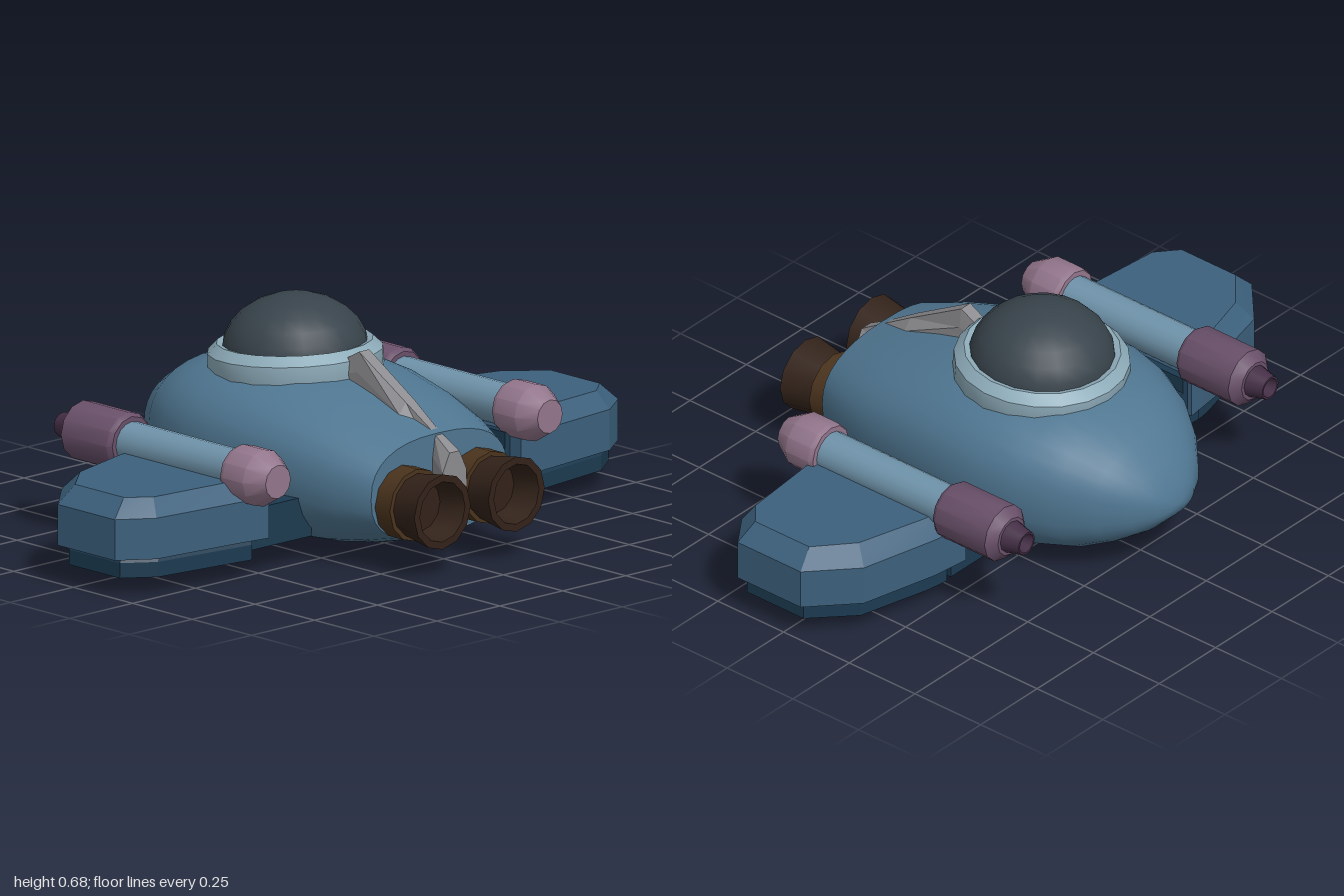
import * as THREE from 'three';
import { toCreasedNormals } from 'three/addons/utils/BufferGeometryUtils.js';

const mat = (color, extra = {}) => new THREE.MeshStandardMaterial({ color, ...extra });
const M = {
  hull: mat(0x4f7691), wing: mat(0x3c607c), dark: mat(0x1c3a50), collar: mat(0x8dabb9),
  glass: mat(0x38434b), tube: mat(0x6f93aa), cap: mat(0x93768c), barrel: mat(0x69506a),
  muzzle: mat(0x452f47, { side: THREE.DoubleSide }), spine: mat(0x8c8c90),
  band: mat(0x4a331d), nozzle: mat(0x33231a, { side: THREE.DoubleSide }),
};

function add(parent, name, geometry, material) {
  const mesh = new THREE.Mesh(geometry, material);
  mesh.name = name;
  parent.add(mesh);
  return mesh;
}

// Skin equal-length rings of points and close both ends; the first ring runs
// counter-clockwise seen from outside.
function loft(rings, crease) {
  const n = rings[0].length, pos = [], idx = [];
  rings.forEach(r => r.forEach(p => pos.push(...p)));
  for (let i = 0; i < rings.length - 1; i++) {
    for (let j = 0; j < n; j++) {
      const a = i * n + j, b = i * n + (j + 1) % n;
      idx.push(a, a + n, b, b, a + n, b + n);
    }
  }
  const last = (rings.length - 1) * n;
  [rings[0], rings[rings.length - 1]].forEach((ring, end) => {
    const c = pos.length / 3;
    pos.push(...[0, 1, 2].map(k => ring.reduce((s, p) => s + p[k], 0) / n));
    for (let j = 0; j < n; j++) {
      const k = (j + 1) % n;
      if (end) idx.push(c, last + k, last + j);
      else idx.push(c, j, k);
    }
  });
  const g = new THREE.BufferGeometry();
  g.setAttribute('position', new THREE.Float32BufferAttribute(pos, 3));
  g.setIndex(idx);
  return toCreasedNormals(g, crease);
}

// Lathe from [radius, height] pairs, optionally laid along z
function turned(profile, segments, alongZ = true) {
  const g = new THREE.LatheGeometry(profile.map(p => new THREE.Vector2(...p)), segments);
  if (alongZ) g.rotateX(Math.PI / 2);
  return toCreasedNormals(g, 0.6);
}

function hullGeometry() {
  // z, half width, top, bottom, height of widest line
  const sections = [
    [0.48, 0.27, 0.375, 0.07, 0.22], [0.37, 0.315, 0.412, 0.042, 0.235],
    [0.24, 0.348, 0.45, 0.02, 0.25], [0.07, 0.371, 0.487, 0.006, 0.265],
    [-0.08, 0.38, 0.5, 0.002, 0.27], [-0.2, 0.374, 0.5, 0.006, 0.27],
    [-0.32, 0.346, 0.485, 0.02, 0.265], [-0.43, 0.295, 0.455, 0.046, 0.255],
    [-0.52, 0.228, 0.4, 0.09, 0.245], [-0.59, 0.153, 0.335, 0.136, 0.235],
    [-0.63, 0.085, 0.275, 0.178, 0.225], [-0.645, 0.035, 0.237, 0.203, 0.22],
    [-0.648, 0.002, 0.221, 0.219, 0.22],
  ];
  const curve = v => Math.sign(v) * Math.abs(v) ** 0.8;
  return loft(sections.map(([z, w, top, bottom, mid]) =>
    Array.from({ length: 32 }, (_, j) => {
      const a = j / 32 * Math.PI * 2, s = curve(Math.sin(a));
      return [w * curve(Math.cos(a)), mid + s * (s > 0 ? top - mid : mid - bottom), z];
    })), 0.9);
}

// Stack of plan outlines from top to bottom, mirrored for the other side
function stacked(layers, side) {
  return loft(layers.map(([y, outline]) => {
    const ring = outline.map(([x, z]) => [x * side, y, z]);
    return side > 0 ? ring : ring.reverse();
  }), 0.2);
}

function createWing(side) {
  const wing = new THREE.Group();
  wing.name = side > 0 ? 'leftWing' : 'rightWing';
  const outer = [[0.5, 0.295], [0.62, 0.277], [0.9, 0.245], [1, 0.175],
    [1, -0.065], [0.865, -0.19], [0.62, -0.25], [0.5, -0.265]];
  const inset = [[0.52, 0.25], [0.62, 0.235], [0.88, 0.21], [0.945, 0.155],
    [0.945, -0.05], [0.835, -0.145], [0.62, -0.205], [0.52, -0.225]];
  const under = [[0.55, 0.275], [0.62, 0.265], [0.88, 0.23], [0.97, 0.165],
    [0.97, -0.05], [0.85, -0.165], [0.62, -0.225], [0.55, -0.235]];
  add(wing, 'wingPanel', stacked([[0.29, inset], [0.237, outer], [0.115, outer]], side), M.wing);
  add(wing, 'wingUnderplate', stacked([[0.12, under.map(([x, z]) => [x - 0.01, z * 0.97])],
    [0.1, under], [0.055, under]], side), M.dark);
  const root = add(wing, 'wingRoot', new THREE.BoxGeometry(0.26, 0.122, 0.5), M.dark);
  root.position.set(side * 0.42, 0.136, 0);
  const joint = add(wing, 'wingJoint', new THREE.BoxGeometry(0.05, 0.14, 0.5), M.dark);
  joint.position.set(side * 0.505, 0.175, 0);
  return wing;
}

function createCannon(side) {
  const cannon = new THREE.Group();
  cannon.name = side > 0 ? 'leftCannon' : 'rightCannon';
  cannon.position.set(side * 0.54, 0.305, 0);
  add(cannon, 'cannonTube', turned([[0.063, -0.26], [0.063, 0.24]], 16), M.tube);
  add(cannon, 'rearCap', turned([[0, 0.215], [0.08, 0.215], [0.085, 0.23], [0.085, 0.315],
    [0.05, 0.375], [0, 0.375]], 12), M.cap);
  add(cannon, 'barrelHousing', turned([[0, -0.472], [0.06, -0.472], [0.088, -0.445],
    [0.088, -0.255], [0.078, -0.24], [0, -0.24]], 12), M.barrel);
  add(cannon, 'muzzle', turned([[0, -0.49], [0.025, -0.49], [0.03, -0.53], [0.036, -0.53],
    [0.052, -0.46]], 12), M.muzzle);
  return cannon;
}

function createEngine(side) {
  const engine = new THREE.Group();
  engine.name = side > 0 ? 'leftEngine' : 'rightEngine';
  engine.position.set(side * 0.147, 0.197, 0);
  add(engine, 'engineBand', turned([[0, 0.44], [0.108, 0.44], [0.108, 0.543], [0, 0.543]], 12), M.band);
  add(engine, 'nozzle', turned([[0.094, 0.54], [0.112, 0.65], [0.09, 0.65],
    [0.075, 0.56], [0, 0.56]], 12), M.nozzle);
  return engine;
}

// Faceted ridge running from the canopy down to the engines
function spineGeometry() {
  // z, top, bottom, top half width, middle half width
  const sections = [
    [0.545, 0.33, 0.215, 0.02, 0.047], [0.47, 0.375, 0.25, 0.012, 0.022],
    [0.36, 0.445, 0.38, 0.018, 0.045], [0.165, 0.56, 0.44, 0.02, 0.028],
    [0.11, 0.53, 0.44, 0.02, 0.028],
  ];
  return loft(sections.map(([z, t, b, wt, wm]) => {
    const m = b + (t - b) * 0.5;
    return [[wm, m, z], [wt, t, z], [-wt, t, z], [-wm, m, z], [-wm, b, z], [wm, b, z]];
  }), 0.1);
}

export function createModel() {
  const ship = new THREE.Group();
  ship.name = 'spaceship';
  add(ship, 'hull', hullGeometry(), M.hull);
  add(ship, 'spine', spineGeometry(), M.spine);

  // Canopy leans slightly towards the nose
  const canopy = new THREE.Group();
  canopy.name = 'canopy';
  canopy.position.set(0, 0.51, -0.125);
  canopy.rotation.x = -0.055;
  add(canopy, 'canopyCollar', turned([[0.24, -0.1], [0.258, -0.06], [0.256, 0],
    [0.228, 0.028], [0.2, 0.02]], 20, false), M.collar);
  const dome = add(canopy, 'canopyDome',
    new THREE.SphereGeometry(0.215, 20, 6, 0, Math.PI * 2, 0, Math.PI / 2), M.glass);
  dome.scale.y = 0.78;
  ship.add(canopy);

  for (const side of [1, -1]) {
    ship.add(createWing(side), createCannon(side), createEngine(side));
  }
  return ship;
}
